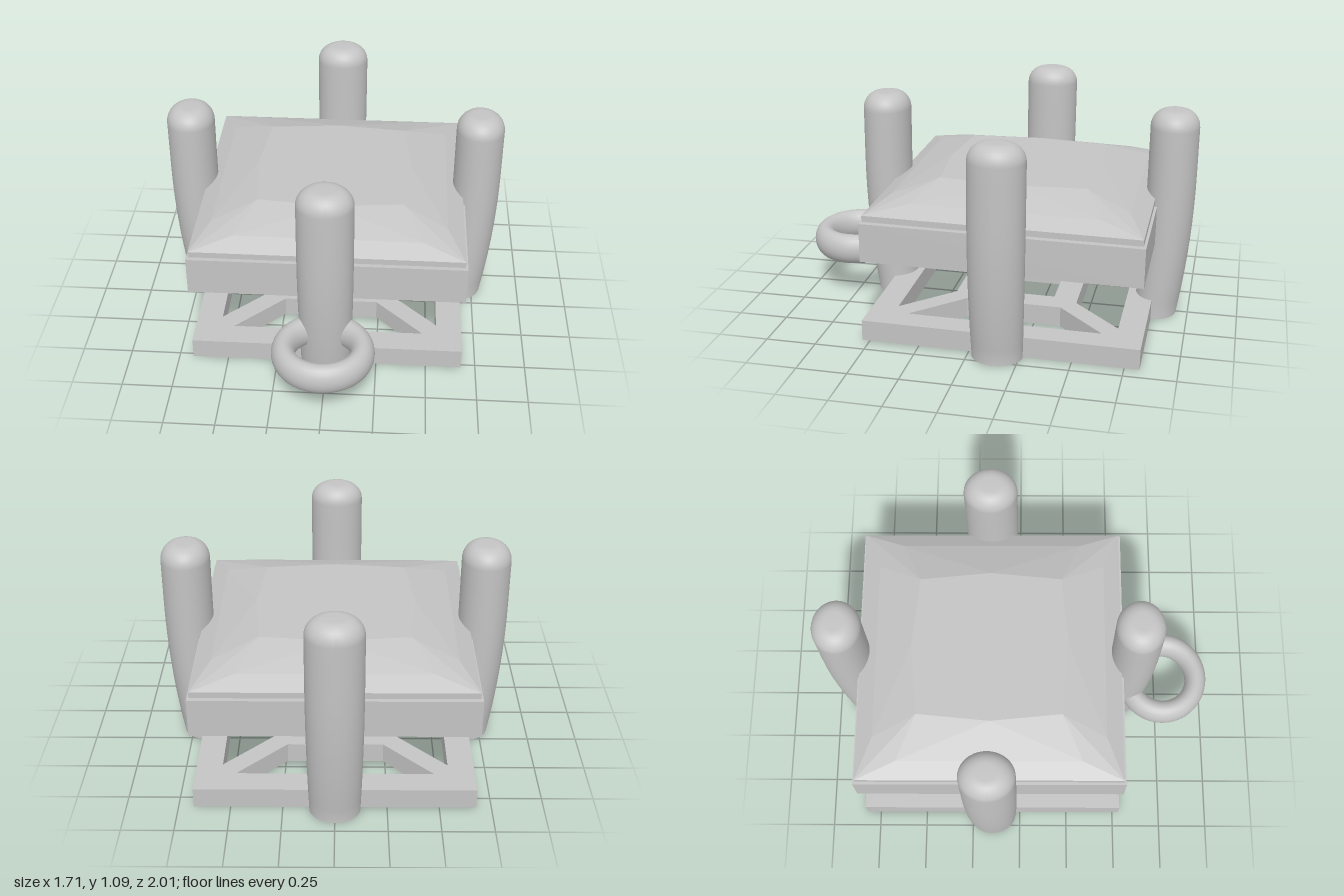
import * as THREE from 'three';
import { ConvexGeometry } from 'three/addons/geometries/ConvexGeometry.js';

const CENTRE_Z = -0.145;

// Closed 2D outline from point pairs
function outline(points, Type = THREE.Path) {
  return new Type(points.map(([x, y]) => new THREE.Vector2(x, y)));
}

function square(h, Type) {
  return outline([[-h, -h], [h, -h], [h, h], [-h, h]], Type);
}

// Flat plate with holes, lying level between y0 and y1
function plate(half, holes, y0, y1) {
  const shape = square(half, THREE.Shape);
  shape.holes.push(...holes);
  const geo = new THREE.ExtrudeGeometry(shape, { depth: y1 - y0, bevelEnabled: false });
  return geo.rotateX(-Math.PI / 2).translate(0, y0, 0);
}

// Oval prong with a softly rounded tip, leaning inward towards its foot
function prongGeometry() {
  const base = 0.01, top = 1.087, round = 0.085;
  const profile = [[0, base]];
  for (let i = 0; i <= 12; i++) profile.push([0.128, base + (top - round - base) * i / 12]);
  for (let i = 1; i <= 8; i++) {
    const a = (i / 8) * Math.PI / 2;
    profile.push([0.045 + 0.083 * Math.cos(a), top - round + round * Math.sin(a)]);
  }
  profile.push([0, top]);
  const geo = new THREE.LatheGeometry(profile.map(([r, y]) => new THREE.Vector2(r, y)), 40);
  const pos = geo.attributes.position;
  for (let i = 0; i < pos.count; i++) {
    const y = pos.getY(i);
    const bend = Math.max(0, 1 - y / 0.75) ** 2;
    const size = 1 - 0.1 * bend;
    pos.setXYZ(i, pos.getX(i) * 1.06 * size, y, pos.getZ(i) * 0.94 * size + 0.735 - 0.05 * bend);
  }
  // Sharp foot: separate the bottom disc from the shaft
  const flat = geo.toNonIndexed();
  const p = flat.attributes.position, n = flat.attributes.normal;
  geo.computeVertexNormals();
  const smooth = geo.toNonIndexed().attributes.normal;
  for (let i = 0; i < p.count; i += 3) {
    const foot = [0, 1, 2].every((k) => p.getY(i + k) < base + 0.001);
    for (let k = 0; k < 3; k++) {
      if (foot) n.setXYZ(i + k, 0, -1, 0);
      else if (p.getY(i + k) < base + 0.001) {
        const v = new THREE.Vector3(smooth.getX(i + k), 0, smooth.getZ(i + k)).normalize();
        n.setXYZ(i + k, v.x, 0, v.z);
      } else n.setXYZ(i + k, smooth.getX(i + k), smooth.getY(i + k), smooth.getZ(i + k));
    }
  }
  return flat;
}

// Faceted crown of the stone
function crownGeometry() {
  const pts = [];
  const add = (x, y, z) => pts.push(new THREE.Vector3(x, y, z));
  for (const s of [-1, 1]) {
    add(0, 0.77, s * 0.395);
    add(s * 0.395, 0.77, 0);
    for (const t of [-1, 1]) {
      add(s * 0.665, 0.655, t * 0.665);
      add(s * 0.36, 0.77, t * 0.36);
      add(s * 0.46, 0.702, t * 0.58);
      add(s * 0.58, 0.702, t * 0.46);
    }
  }
  return new ConvexGeometry(pts);
}

// Square pavilion that curves down to a point
function pavilionGeometry() {
  const profile = [[0, 0.155], [0.12, 0.19], [0.25, 0.25], [0.36, 0.322],
    [0.475, 0.43], [0.58, 0.545], [0.645, 0.63]];
  const pts = profile.map(([h, y]) => new THREE.Vector2(h * Math.SQRT2, y));
  const geo = new THREE.LatheGeometry(pts, 4, Math.PI / 4).toNonIndexed();
  geo.computeVertexNormals();
  return geo;
}

export function createModel() {
  const root = new THREE.Group();
  root.name = 'stoneSettingPendant';
  const grey = new THREE.MeshStandardMaterial({ color: 0xc4c4c4 });
  grey.name = 'grey';

  const add = (parent, name, geo) => {
    const mesh = new THREE.Mesh(geo, grey);
    mesh.name = name;
    parent.add(mesh);
    return mesh;
  };

  // Setting and stone lean very slightly back
  const setting = new THREE.Group();
  setting.name = 'setting';
  setting.position.z = CENTRE_Z;
  setting.rotation.x = -0.008;
  root.add(setting);

  // Stone
  const stone = new THREE.Group();
  stone.name = 'stone';
  setting.add(stone);
  add(stone, 'crown', crownGeometry());
  add(stone, 'girdle', new THREE.BoxGeometry(1.33, 0.03, 1.33).translate(0, 0.64, 0));
  add(stone, 'pavilion', pavilionGeometry());

  // Upper band around the stone
  add(setting, 'upperBand', plate(0.677, [square(0.48)], 0.424, 0.617));

  // Openwork base: four trapezoid openings leave diagonal struts
  const holes = [square(0.19)];
  for (let i = 0; i < 4; i++) {
    const c = Math.round(Math.cos(i * Math.PI / 2)), s = Math.round(Math.sin(i * Math.PI / 2));
    const trapezoid = [[-0.48, 0.55], [-0.24, 0.31], [0.24, 0.31], [0.48, 0.55]];
    holes.push(outline(trapezoid.map(([x, y]) => [x * c - y * s, x * s + y * c])));
  }
  add(setting, 'openworkBase', plate(0.677, holes, 0.01, 0.113));

  // One prong in the middle of each side
  const prong = prongGeometry();
  ['frontProng', 'leftProng', 'backProng', 'rightProng'].forEach((name, i) => {
    add(setting, name, prong).rotation.y = i * Math.PI / 2;
  });

  // Hanging loop around the front prong
  const loop = new THREE.TorusGeometry(0.19, 0.058, 24, 64);
  loop.rotateX(Math.PI / 2).scale(1, 1.35, 0.96);
  add(root, 'hangingLoop', loop).position.set(0, 0.28, 0.76);

  return root;
}
